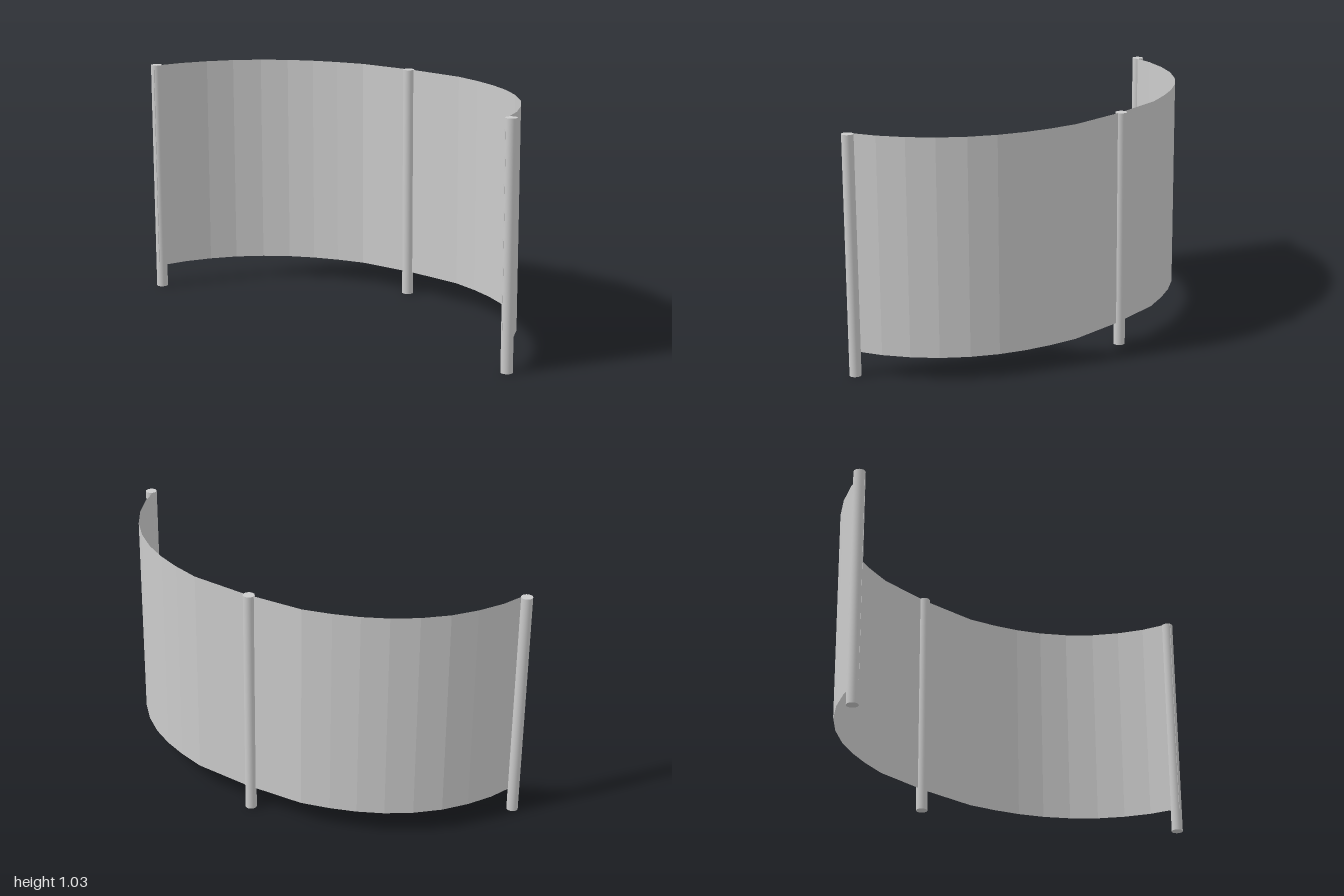
import * as THREE from 'three';

const HEIGHT = 1.035, PANEL_BOTTOM = 0.1, POST_RADIUS = 0.025;

// Half outline of the curved panel in plan, from the back centre to the front end
const HALF = [
  [0, -0.315], [0.27, -0.3], [0.395, -0.265], [0.505, -0.223], [0.61, -0.168],
  [0.71, -0.095], [0.8, -0.005], [0.87, 0.095], [0.925, 0.203], [0.967, 0.337],
];

// Faceted sheet standing on a plan outline
function sheet(outline, bottom, top) {
  const positions = [], index = [];
  outline.forEach(([x, z], i) => {
    positions.push(x, bottom, z, x, top, z);
    if (i > 0) {
      const a = 2 * (i - 1);
      index.push(a, a + 2, a + 3, a, a + 3, a + 1);
    }
  });
  const geometry = new THREE.BufferGeometry();
  geometry.setAttribute('position', new THREE.Float32BufferAttribute(positions, 3));
  geometry.setIndex(index);
  const flat = geometry.toNonIndexed();
  flat.computeVertexNormals();
  return flat;
}

export function createModel() {
  const group = new THREE.Group();
  group.name = 'curvedScreen';

  // Curved panel, mirrored about the centre
  const mirrored = HALF.slice(1).reverse().map(([x, z]) => [-x, z]);
  const panel = new THREE.Mesh(
    sheet([...mirrored, ...HALF], PANEL_BOTTOM, HEIGHT),
    new THREE.MeshStandardMaterial({ color: 0xcccccc, flatShading: true, side: THREE.DoubleSide })
  );
  panel.name = 'panel';
  group.add(panel);

  // Round posts at both ends and at the back
  const postGeometry = new THREE.CylinderGeometry(POST_RADIUS, POST_RADIUS, HEIGHT, 24);
  const postMaterial = new THREE.MeshStandardMaterial({ color: 0xcccccc });
  const posts = { leftPost: [0.975, 0.312], backPost: [-0.017, -0.313], rightPost: [-0.975, 0.312] };
  for (const [name, [x, z]] of Object.entries(posts)) {
    const post = new THREE.Mesh(postGeometry, postMaterial);
    post.name = name;
    post.position.set(x, HEIGHT / 2, z);
    group.add(post);
  }
  return group;
}
